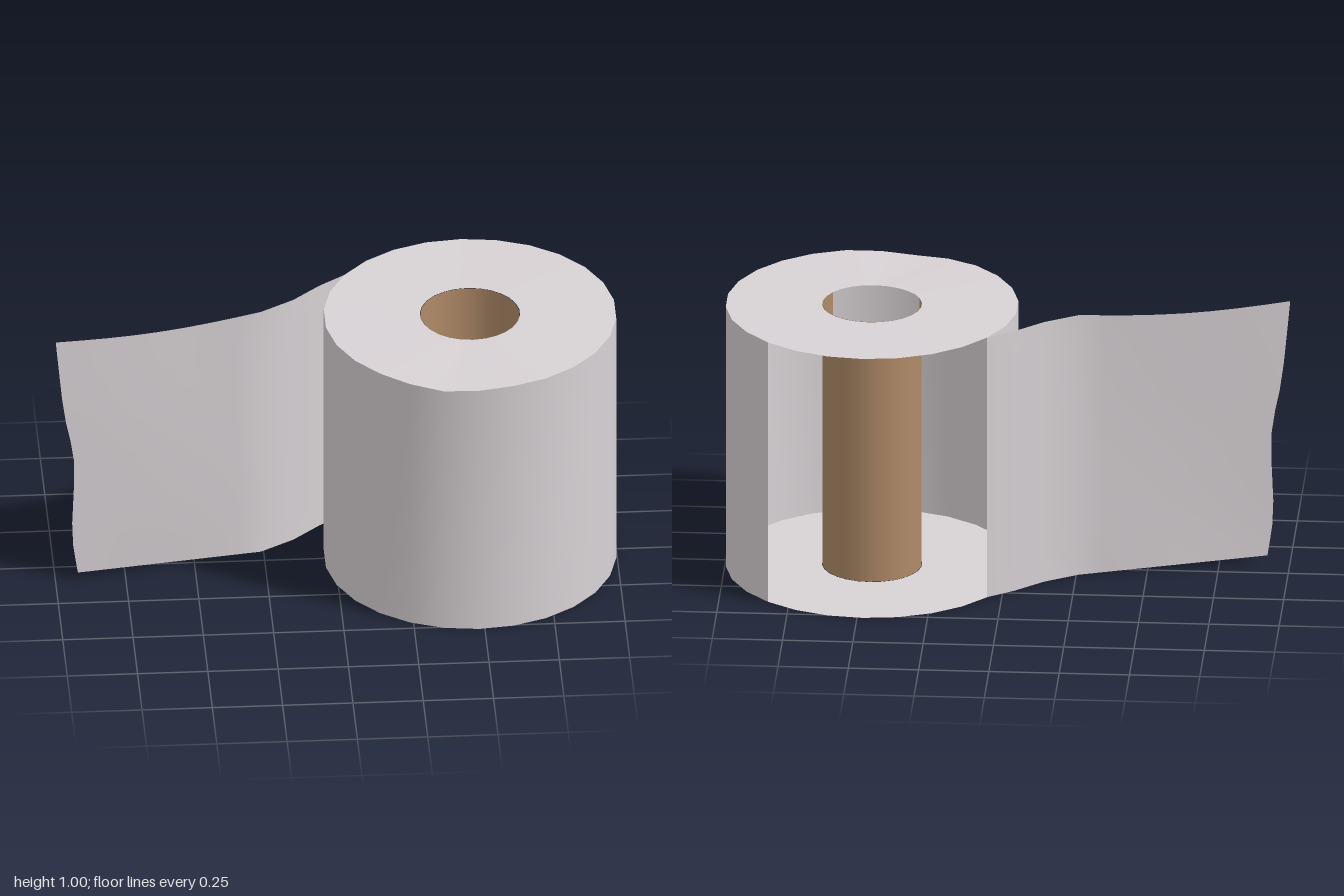
import * as THREE from 'three';

const SIDES = 26, STEP = (Math.PI * 2) / SIDES;
const CX = 0.48, R = 0.52, CORE = 0.178, H = 0.993;

const paper = new THREE.MeshStandardMaterial({ color: 0xd8d2d5, side: THREE.DoubleSide });
paper.name = 'paper';
const card = new THREE.MeshStandardMaterial({ color: 0xb08a68, side: THREE.DoubleSide });
card.name = 'cardboard';

// slight sag of the top rim towards the front and back
function sagTop(geo) {
  const p = geo.attributes.position;
  for (let i = 0; i < p.count; i++) {
    if (p.getY(i) < 0.5) continue;
    const x = p.getX(i), z = p.getZ(i);
    const r = Math.hypot(x, z) / R;
    const front = Math.exp(-(((x + 0.12) / 0.14) ** 2)) * Math.max(0, z / R);
    const back = Math.max(0, -z / R - 0.6) * 0.5;
    p.setY(i, p.getY(i) - 0.014 * r * (front + back));
  }
  geo.computeVertexNormals();
  return geo;
}

function add(group, name, geo, mat) {
  const m = new THREE.Mesh(geo, mat);
  m.name = name;
  group.add(m);
  return m;
}

// open tube covering a run of the polygon's sides
function arcWall(r, first, count) {
  return new THREE.CylinderGeometry(r, r, H, SIDES === count ? SIDES : count, 1, true, first * STEP, count * STEP)
    .translate(0, H / 2, 0);
}

// flat ring with corners matching the walls
function ring(y, up) {
  return new THREE.RingGeometry(CORE, R, SIDES, 1, Math.PI / 2, Math.PI * 2)
    .rotateX(up ? -Math.PI / 2 : Math.PI / 2).translate(0, y, 0);
}

// loose sheet: rows from bottom to top swept along a path in plan
function looseSheet() {
  const endX = new THREE.CatmullRomCurve3([
    [-0.92, 0.03], [-0.94, 0.18], [-0.935, 0.5], [-0.97, 0.7], [-1.0, 0.997],
  ].map(([x, y]) => new THREE.Vector3(x, y, 0)));
  const start = [[0.052, -0.295], [-0.04, -0.228], [-0.14, -0.135], [-0.26, -0.06]];
  const rows = 10, extra = 8, cols = start.length + extra;
  const pos = [], idx = [];
  for (let j = 0; j <= rows; j++) {
    const v = j / rows, end = endX.getPoint(v);
    for (let i = 0; i < cols; i++) {
      let x, z, y = v * H;
      if (i < start.length) [x, z] = start[i];
      else {
        const t = (i - start.length + 1) / extra;
        x = -0.26 + (end.x + 0.26) * t;
        z = -0.06 - 0.23 * (x + 0.26) + 0.008 * Math.sin(v * Math.PI) * Math.sin(t * Math.PI);
        y += (end.y - v * H) * t - 0.02 * v * Math.sin(t * Math.PI);
      }
      pos.push(x, y, z);
      if (j < rows && i < cols - 1) {
        const a = j * cols + i, b = a + cols;
        idx.push(a, b, a + 1, a + 1, b, b + 1);
      }
    }
  }
  const g = new THREE.BufferGeometry();
  g.setAttribute('position', new THREE.Float32BufferAttribute(pos, 3));
  g.setIndex(idx);
  g.computeVertexNormals();
  return g;
}

export function createModel() {
  const model = new THREE.Group();
  model.name = 'paperRoll';

  const roll = new THREE.Group();
  roll.name = 'roll';
  roll.position.x = CX;
  model.add(roll);

  // outer wrap is open at the back, the core is open at the front
  add(roll, 'outerWrap', sagTop(arcWall(R, 17, 19)), paper);
  add(roll, 'cardboardCore', arcWall(CORE - 0.002, 4, 17), card);
  add(roll, 'topFace', sagTop(ring(H, true)), paper);
  add(roll, 'bottomFace', ring(0, false), paper);

  add(model, 'looseSheet', looseSheet(), paper);
  return model;
}
